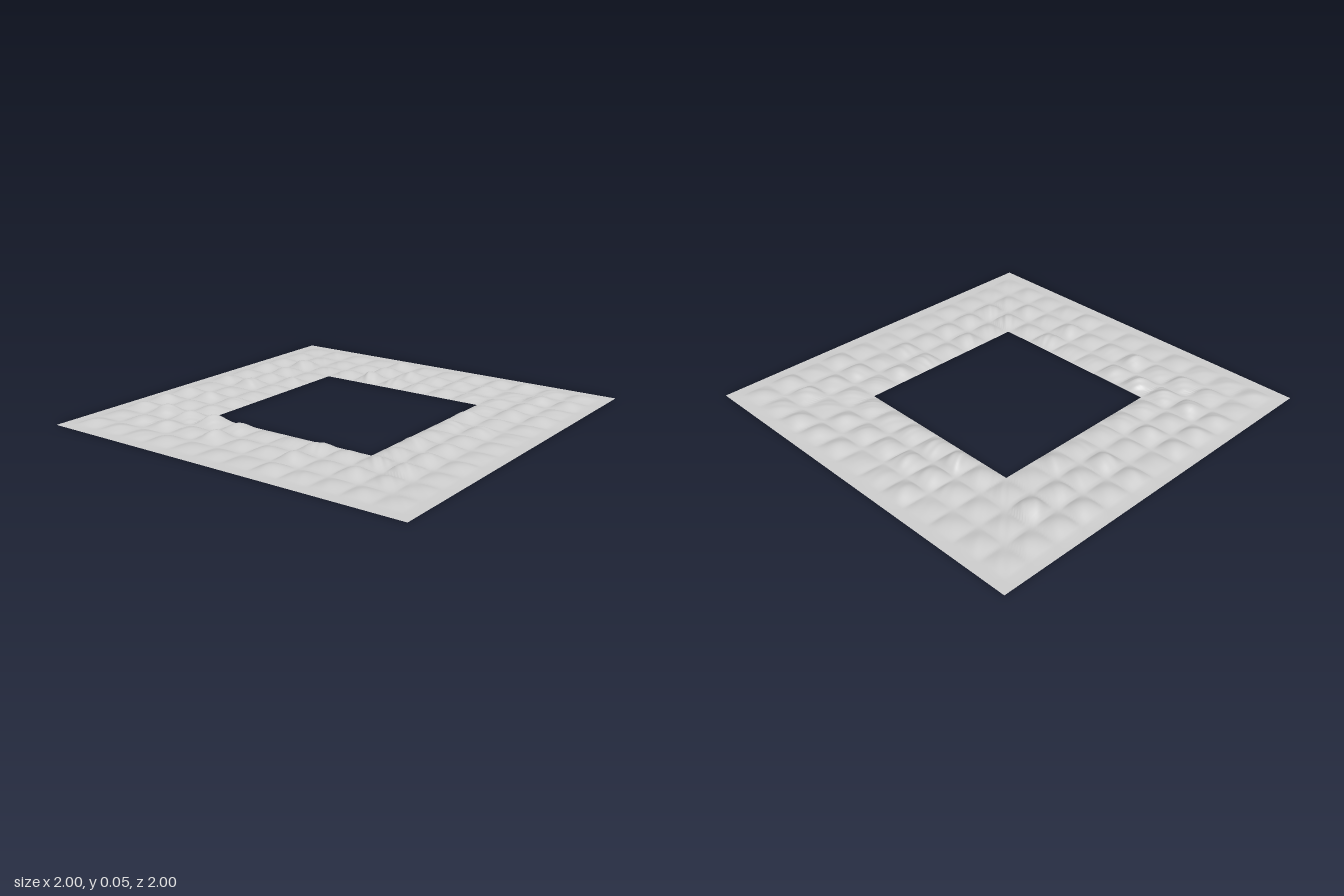
import * as THREE from 'three';

const CELL = 0.1575;           // spacing of the hills
const INNER = 3 * CELL;        // half width of the central opening
const HILL_EDGE = 6 * CELL;    // hills fade to flat ground here
const SIDE_STEPS = 200;        // divisions along each side
const ROWS = 30;               // divisions from opening to hill edge
const HEIGHT = 0.052;

// Repeatable pseudo-random value in 0..1 for a pair of integers
function hash(a, b) {
  const v = Math.sin(a * 127.1 + b * 311.7 + 4.3) * 43758.5453;
  return v - Math.floor(v);
}

// Smooth noise around the closed perimeter, p in 0..4
function perimeterNoise(p, perSide, seed) {
  const n = perSide * 4, u = p * perSide;
  const i = Math.floor(u), f = u - i, w = f * f * (3 - 2 * f);
  return THREE.MathUtils.lerp(hash(i % n, seed), hash((i + 1) % n, seed), w);
}

// Rounded hill in every cell, cut by streaks that run outward from the centre
function hillHeight(x, z, r, p) {
  if (r >= HILL_EDGE - 1e-6) return 0;
  const size = 0.45 + 0.55 * hash(Math.floor(x / CELL), Math.floor(z / CELL));
  const ex = Math.abs(Math.sin(Math.PI * x / CELL));
  const ez = Math.abs(Math.sin(Math.PI * z / CELL));
  const row = Math.floor((r - INNER) / CELL + 1e-4);
  const streak = 0.55 + 0.3 * perimeterNoise(p, 22, 7 + row) + 0.15 * perimeterNoise(p, 45, 19);
  const fade = r > 5 * CELL ? 0.75 : 1;
  return HEIGHT * size * streak * fade * ex * Math.pow(ez, 0.9);
}

// Point on a square ring of half width r; p counts the four sides
function ringPoint(p, r) {
  const side = Math.floor(p), t = ((p - side) * 2 - 1) * r;
  return [[t, r], [r, -t], [-t, -r], [-r, t]][side];
}

function createTerrain() {
  const radii = [];
  for (let j = 0; j <= ROWS; j++) radii.push(INNER + (HILL_EDGE - INNER) * j / ROWS);
  radii.push(1);

  const around = SIDE_STEPS * 4, positions = [], indices = [];
  for (const r of radii) {
    for (let i = 0; i < around; i++) {
      const p = i / SIDE_STEPS;
      const [x, z] = ringPoint(p, r);
      positions.push(x, hillHeight(x, z, r, p), z);
    }
  }
  for (let j = 0; j < radii.length - 1; j++) {
    for (let i = 0; i < around; i++) {
      const k = (i + 1) % around;
      const a = j * around + i, b = a + around;
      const c = j * around + k, d = c + around;
      indices.push(a, b, c, c, b, d);
    }
  }
  const geometry = new THREE.BufferGeometry();
  geometry.setAttribute('position', new THREE.Float32BufferAttribute(positions, 3));
  geometry.setIndex(indices);
  geometry.computeVertexNormals();
  return geometry;
}

export function createModel() {
  const group = new THREE.Group();
  group.name = 'hillBorder';
  const material = new THREE.MeshStandardMaterial({ color: 0xcccccc, side: THREE.DoubleSide });
  const terrain = new THREE.Mesh(createTerrain(), material);
  terrain.name = 'terrainRing';
  group.add(terrain);
  return group;
}
